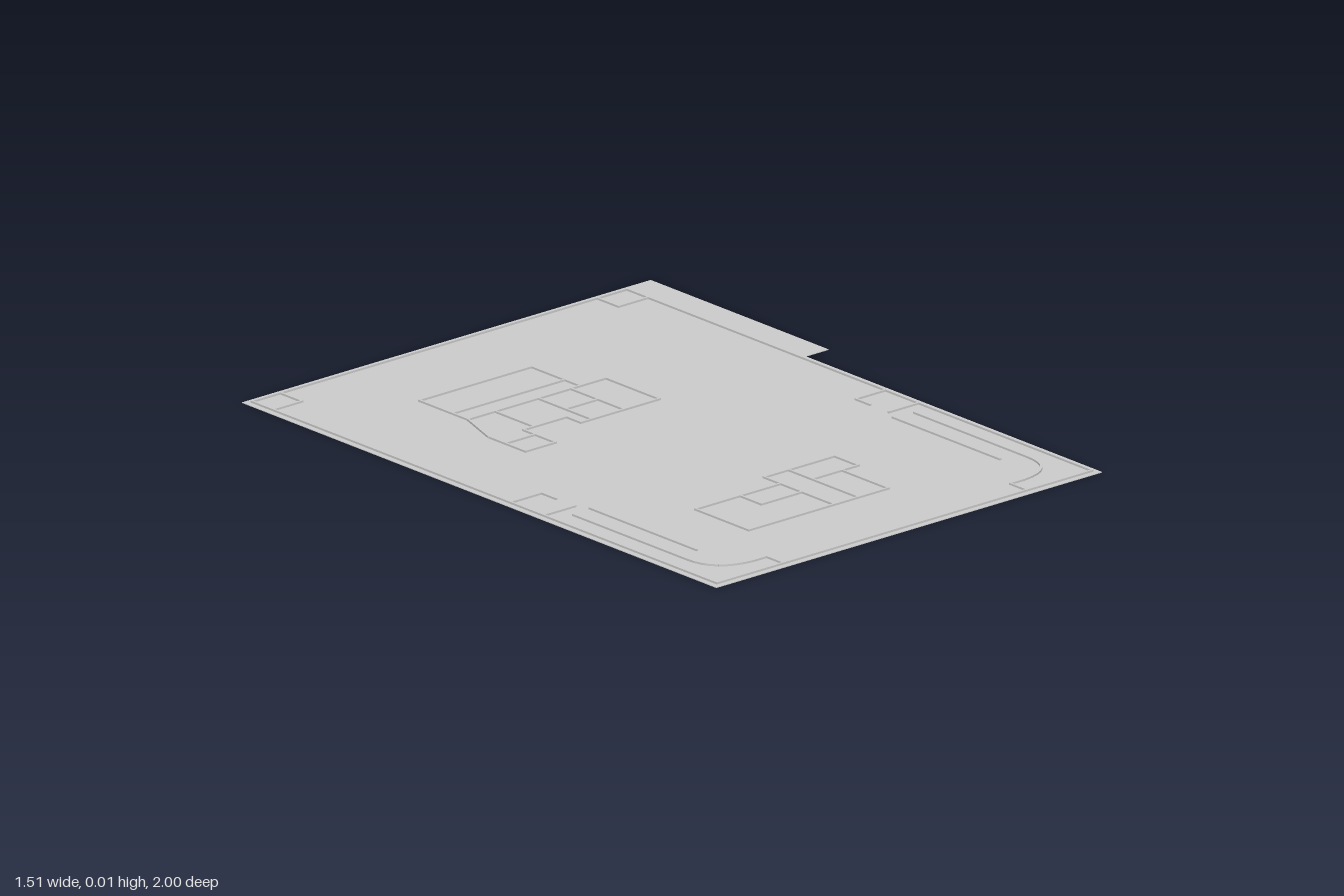
import * as THREE from 'three';

const BASE = 0.002, TOP = 0.008, WALL = 0.006;
const material = new THREE.MeshStandardMaterial({ color: 0xcccccc, flatShading: true });

// One low wall for each stretch of a plan path of [x, z] points
function walls(parent, name, ...paths) {
  const group = new THREE.Group();
  group.name = name;
  for (const path of paths) {
    for (let i = 0; i < path.length - 1; i++) {
      const [x0, z0] = path[i], [x1, z1] = path[i + 1];
      const length = Math.hypot(x1 - x0, z1 - z0);
      const wall = new THREE.Mesh(new THREE.BoxGeometry(length + WALL, TOP - 0.001, WALL), material);
      wall.position.set((x0 + x1) / 2, (TOP + 0.001) / 2, (z0 + z1) / 2);
      wall.rotation.y = -Math.atan2(z1 - z0, x1 - x0);
      wall.name = 'wall';
      group.add(wall);
    }
  }
  parent.add(group);
}

const rect = (x0, z0, x1, z1) => [[x0, z0], [x1, z0], [x1, z1], [x0, z1], [x0, z0]];

export function createModel() {
  const model = new THREE.Group();
  model.name = 'sitePlan';

  // Ground sheet with the step on its left side
  const outline = [[-0.755, -1], [0.755, -1], [0.755, -0.25], [0.67, -0.25], [0.67, 1], [-0.755, 1]];
  const shape = new THREE.Shape(outline.map(([x, z]) => new THREE.Vector2(x, -z)));
  const ground = new THREE.Mesh(
    new THREE.ExtrudeGeometry(shape, { depth: BASE, bevelEnabled: false }), material);
  ground.rotation.x = -Math.PI / 2;
  ground.name = 'ground';
  model.add(ground);

  // Boundary wall
  walls(model, 'boundaryWall', rect(-0.735, -0.98, 0.65, 0.98));

  // Corner rooms at the back
  walls(model, 'backCornerRooms',
    rect(-0.735, -0.98, -0.63, -0.89), rect(0.54, -0.98, 0.65, -0.89));

  // Rear building
  walls(model, 'rearBuilding',
    rect(-0.38, -0.68, 0.035, -0.475),
    [[-0.38, -0.54], [0.035, -0.54]],
    [[-0.28, -0.475], [0.13, -0.475], [0.13, -0.25], [-0.16, -0.25], [-0.16, -0.31], [-0.28, -0.31], [-0.28, -0.475]],
    [[-0.12, -0.475], [-0.12, -0.25]],
    [[0, -0.475], [0, -0.25]],
    [[-0.12, -0.36], [0, -0.36]],
    [[-0.38, -0.475], [-0.43, -0.33], [-0.43, -0.175], [-0.32, -0.175], [-0.32, -0.31], [-0.28, -0.31]],
    [[-0.43, -0.26], [-0.32, -0.26]]);

  // Front building
  walls(model, 'frontBuilding',
    [[-0.385, 0.49], [-0.385, 0.715], [0.13, 0.715], [0.13, 0.52], [0.19, 0.52], [0.19, 0.42],
      [-0.07, 0.42], [-0.07, 0.49], [-0.385, 0.49]],
    [[-0.22, 0.49], [-0.22, 0.58], [-0.07, 0.58], [-0.07, 0.49]],
    [[0.02, 0.42], [0.02, 0.715]],
    [[-0.07, 0.58], [-0.07, 0.715]],
    [[0.02, 0.52], [0.13, 0.52]]);

  // Side kerbs and rounded front corners, mirrored about the court axis
  const axis = -0.04;
  for (const side of [1, -1]) {
    const place = path => path.map(([x, z]) => [axis + side * x, z]);
    const curve = new THREE.QuadraticBezierCurve(
      new THREE.Vector2(0.5, 0.91), new THREE.Vector2(0.63, 0.9), new THREE.Vector2(0.63, 0.78));
    const bend = curve.getPoints(8).map(p => [p.x, p.y]);
    walls(model, side > 0 ? 'leftKerb' : 'rightKerb',
      place([[0.56, 0.29], [0.56, 0.74]]),
      place([[0.45, 0.98], [0.45, 0.91], [0.5, 0.91]]),
      place(bend),
      place([[0.63, 0.78], [0.63, 0.3]]),
      place([[0.69, 0.25], [0.58, 0.25]]),
      place([[0.69, 0.11], [0.58, 0.11], [0.58, 0.17]]));
  }
  return model;
}
